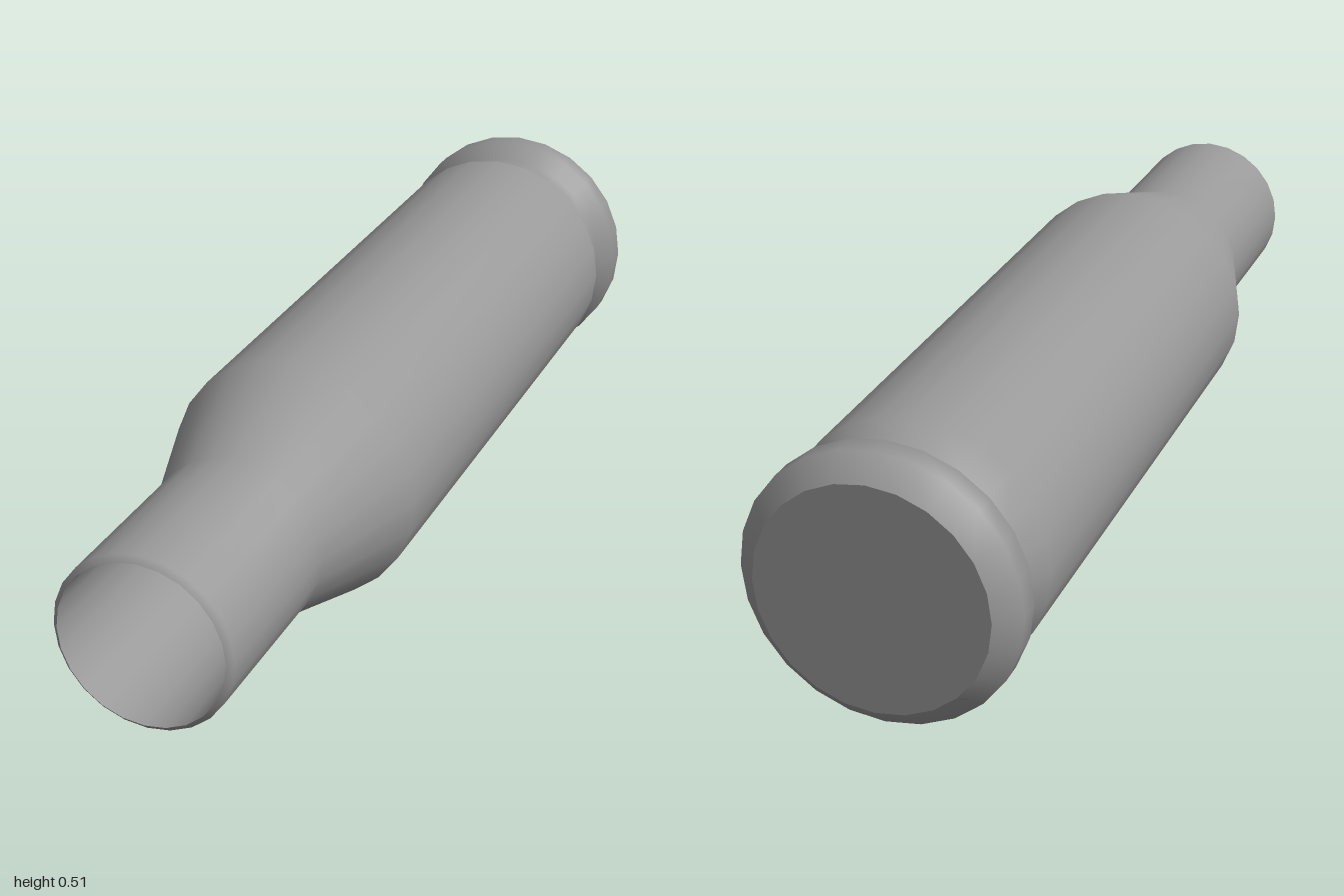
import * as THREE from 'three';

const SIDES = 24;
const AXIS_HEIGHT = 0.257;

export function createModel() {
  const group = new THREE.Group();
  group.name = 'cartridgeCase';
  const material = new THREE.MeshStandardMaterial({ color: 0x999999 });

  // Each part is a smooth turned section; [radius, z] pairs run along the long axis,
  // and the seams between sections stay sharp.
  const turn = (name, profile) => {
    const points = profile.map(([r, z]) => new THREE.Vector2(r, z));
    const geometry = new THREE.LatheGeometry(points, SIDES);
    geometry.rotateX(Math.PI / 2);
    const mesh = new THREE.Mesh(geometry, material);
    mesh.name = name;
    mesh.position.y = AXIS_HEIGHT;
    group.add(mesh);
  };

  // Flat head
  turn('baseDisc', [[0, -1], [0.215, -1]]);

  // Bevelled rim, extractor groove, body, tapered shoulder, neck and rounded mouth
  turn('caseBody', [
    [0.215, -1], [0.257, -0.96], [0.257, -0.915],
    [0.22, -0.905], [0.22, -0.86], [0.247, -0.81],
    [0.247, 0.375], [0.168, 0.625], [0.168, 0.99], [0.157, 1],
  ]);

  // Hollow interior
  turn('boreWall', [[0.157, 1], [0.157, -0.75]]);
  turn('boreFloor', [[0.157, -0.75], [0, -0.75]]);

  return group;
}
